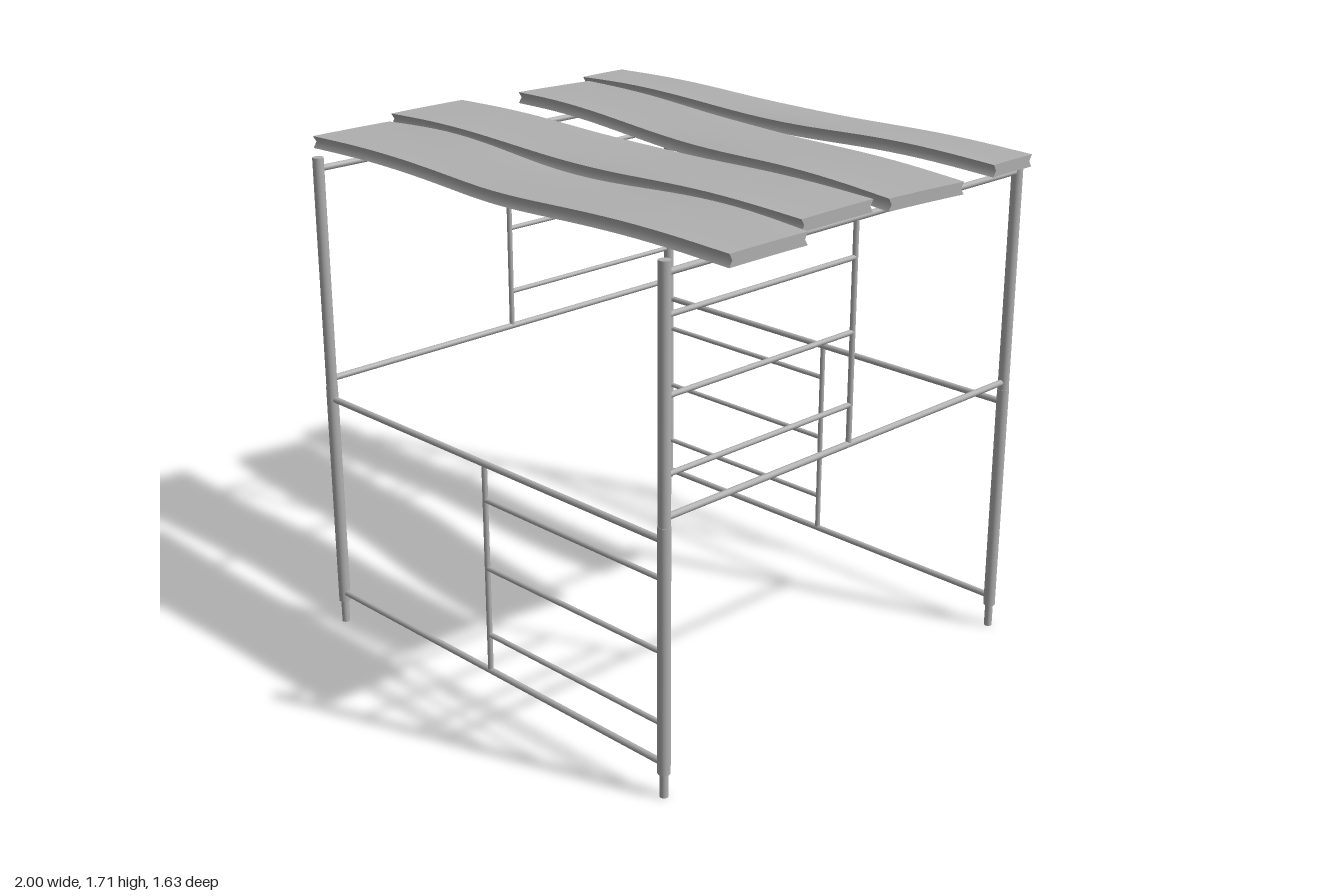
import * as THREE from 'three';

const X0 = -0.755, X1 = 0.84, XM = 0.043, ZP = 0.795;

export function createModel() {
  const model = new THREE.Group();
  model.name = 'scaffoldTable';
  const grey = new THREE.MeshStandardMaterial({ color: 0xb0b0b0 });
  grey.name = 'plain grey';

  // Round tube between two points
  function tube(name, a, b, radius, parent = model, sides = 16) {
    const from = new THREE.Vector3(...a), to = new THREE.Vector3(...b);
    const dir = to.clone().sub(from);
    const mesh = new THREE.Mesh(new THREE.CylinderGeometry(radius, radius, dir.length(), sides), grey);
    mesh.position.copy(from).add(to).multiplyScalar(0.5);
    mesh.quaternion.setFromUnitVectors(new THREE.Vector3(0, 1, 0), dir.normalize());
    mesh.name = name;
    parent.add(mesh);
  }

  // Corner posts with a thinner foot spigot
  for (const x of [X0, X1]) for (const z of [-ZP, ZP]) {
    const post = new THREE.Group();
    post.name = 'cornerPost';
    tube('foot', [x, 0, z], [x, 0.08, z], 0.0135, post);
    tube('lowerTube', [x, 0.08, z], [x, 0.88, z], 0.02, post);
    tube('upperTube', [x, 0.88, z], [x, 1.665, z], 0.0188, post);
    model.add(post);
  }

  // Ladder frame: two full rails, a middle upright, and rungs on one half
  function frame(name, at, start, mid, end, base) {
    const group = new THREE.Group();
    group.name = name;
    for (const y of [0, 0.722]) tube('rail', at(start, base + y), at(end, base + y), 0.0105, group, 12);
    tube('upright', at(mid, base), at(mid, base + 0.722), 0.009, group, 12);
    for (const y of [0.13, 0.365, 0.6]) tube('rung', at(mid, base + y), at(end, base + y), 0.0085, group, 12);
    model.add(group);
  }
  frame('frontFrame', (x, y) => [x, y, ZP], X0, XM, X1, 0.112);
  frame('backFrame', (x, y) => [x, y, -ZP], X1, XM, X0, 0.112);
  frame('leftFrame', (z, y) => [X1, y, z], -ZP, 0, ZP, 0.906);
  frame('rightFrame', (z, y) => [X0, y, z], ZP, 0, -ZP, 0.906);

  // Warped plank with one strongly wavy long edge and hollowed sides
  function plank(width) {
    const g = new THREE.BoxGeometry(1.9, 0.04, width, 32, 2, 8);
    const p = g.attributes.position;
    for (let i = 0; i < p.count; i++) {
      const u = p.getX(i) / 0.95, v = p.getZ(i) / (width / 2);
      const y = p.getY(i);
      const wave = -Math.cos(Math.PI * u / 0.65);
      const near = Math.max(0, v) ** 2, far = Math.max(0, -v) ** 2;
      let z = p.getZ(i) + 0.009 * wave * near - 0.014 * Math.exp(-((u / 0.25) ** 2)) * far;
      if (Math.abs(v) > 0.99 && Math.abs(y) < 0.001) z -= Math.sign(v) * 0.012;
      p.setZ(i, z);
      p.setY(i, y + wave * (0.002 + 0.01 * near + 0.005 * far));
    }
    g.computeVertexNormals();
    return g;
  }

  // Four loose planks: [x, z, width, turn]
  const planks = [
    [-0.05, -0.683, 0.2, 0],
    [0, -0.292, 0.318, -0.103],
    [-0.05, 0.157, 0.315, 0],
    [0.045, 0.549, 0.315, Math.PI],
  ];
  for (const [x, z, width, turn] of planks) {
    const mesh = new THREE.Mesh(plank(width), grey);
    mesh.position.set(x, 1.676, z);
    mesh.rotation.y = turn;
    mesh.name = 'plank';
    model.add(mesh);
  }
  return model;
}
